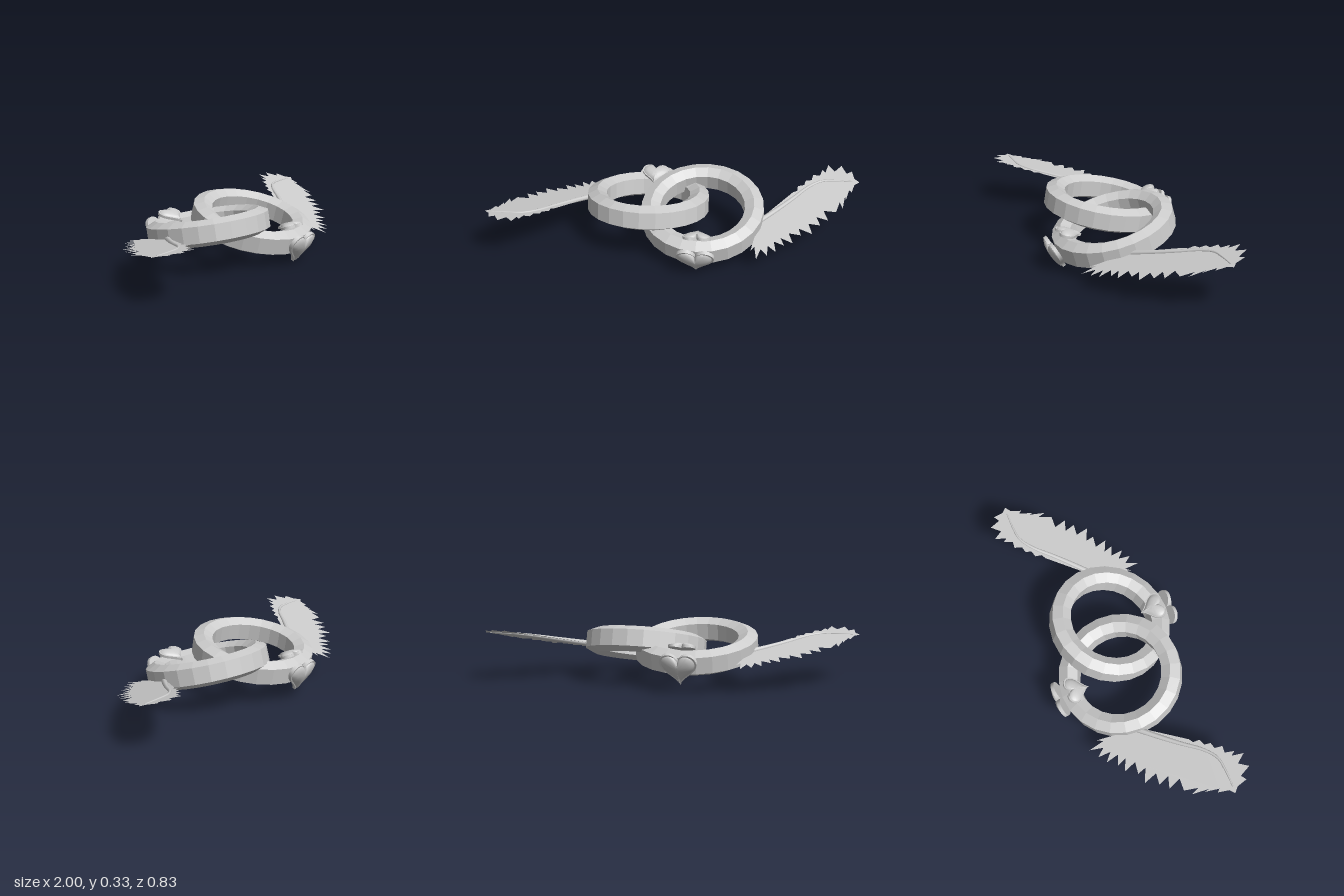
import * as THREE from 'three';
import { toCreasedNormals } from 'three/addons/utils/BufferGeometryUtils.js';

const flat = new THREE.MeshStandardMaterial({ color: 0xcccccc, flatShading: true });
const smooth = new THREE.MeshStandardMaterial({ color: 0xcccccc });
const thin = new THREE.MeshStandardMaterial({ color: 0xcccccc, side: THREE.DoubleSide });
const rad = THREE.MathUtils.degToRad;
const v2 = ([x, y]) => new THREE.Vector2(x, y);

function part(name, geometry, material) {
  const mesh = new THREE.Mesh(geometry, material);
  mesh.name = name;
  return mesh;
}

// Faceted band with a six-sided section
function ringGeometry() {
  const section = [[0.283, -0.07], [0.336, -0.045], [0.336, 0.045], [0.283, 0.07],
    [0.232, 0.045], [0.232, -0.045], [0.283, -0.07]];
  return new THREE.LatheGeometry(section.map(v2), 24);
}

// Domed heart: a lathe whose circles are bent into heart outlines (dome +y, lobes +z)
function heartGeometry(size, depth) {
  const section = [[0, -0.01], [1, -0.01], [1, 0.01], [0.9, 0.01], [0.84, 0.017],
    [0.6, 0.027], [0.3, 0.032], [0, 0.034]];
  const geo = new THREE.LatheGeometry(section.map(v2), 40);
  const p = geo.attributes.position;
  for (let i = 0; i < p.count; i++) {
    const r = Math.hypot(p.getX(i), p.getZ(i));
    const a = Math.atan2(p.getX(i), p.getZ(i));
    const hx = 16 * Math.sin(a) ** 3;
    const hz = 13 * Math.cos(a) - 5 * Math.cos(2 * a) - 2 * Math.cos(3 * a) - Math.cos(4 * a);
    p.setXYZ(i, hx * r * size, p.getY(i) * depth, (hz * r + 2.5) * size);
  }
  return toCreasedNormals(geo, 0.6);
}

// Wing plan, as x and z in the plane of the ring
const toRing = ([x, z]) => [x - 0.155, (z - 0.025) * 1.035];
const spine = new THREE.CatmullRomCurve3(
  [[0.46, 0.065], [0.56, -0.04], [0.64, -0.13], [0.72, -0.225], [0.79, -0.275], [0.86, -0.285], [0.96, -0.288]]
    .map(toRing).map(([x, z]) => new THREE.Vector3(x, 0, z)));
const tips = [[0.44, 0.27], [0.475, 0.325], [0.53, 0.295], [0.575, 0.265], [0.615, 0.215], [0.66, 0.195],
  [0.7, 0.135], [0.76, 0.12], [0.8, 0.055], [0.84, 0.015], [0.88, -0.05], [0.915, -0.08], [0.93, -0.145],
  [0.96, -0.205], [1.0, -0.285], [0.955, -0.365], [0.895, -0.405], [0.82, -0.405], [0.79, -0.365],
  [0.74, -0.32], [0.7, -0.27], [0.66, -0.225], [0.635, -0.175]].map(toRing);

// Flat vane with a notch cut between each pair of feather tips
function vaneGeometry() {
  const roots = spine.getSpacedPoints(40);
  const shape = new THREE.Shape();
  const [bx, bz] = toRing([0.47, 0.04]);
  shape.moveTo(bx, -bz);
  tips.forEach(([x, z], i) => {
    if (i > 0) {
      const mid = new THREE.Vector3((x + tips[i - 1][0]) / 2, 0, (z + tips[i - 1][1]) / 2);
      const root = roots.reduce((a, b) => (b.distanceTo(mid) < a.distanceTo(mid) ? b : a));
      const length = root.distanceTo(mid);
      mid.lerp(root, Math.min(0.06, length * 0.4) / length);
      shape.lineTo(mid.x, -mid.z);
    }
    shape.lineTo(x, -z);
  });
  shape.closePath();
  return new THREE.ShapeGeometry(shape).rotateX(-Math.PI / 2);
}

// Tube along the spine, tapering to the wing tip
function spineGeometry() {
  const steps = 24, sides = 8;
  const geo = new THREE.TubeGeometry(spine, steps, 1, sides);
  const p = geo.attributes.position, v = new THREE.Vector3();
  for (let i = 0; i < p.count; i++) {
    const t = Math.floor(i / (sides + 1)) / steps;
    const c = spine.getPointAt(t);
    v.fromBufferAttribute(p, i).sub(c).multiplyScalar(0.016 - 0.012 * t).add(c);
    p.setXYZ(i, v.x, v.y, v.z);
  }
  return geo;
}

// Ring with a heart on its front, a heart on its top and a wing at its side
function wingedRing(name) {
  const group = new THREE.Group();
  group.name = name;

  const frontHeart = part('frontHeart', heartGeometry(0.0064, 1), smooth);
  frontHeart.position.set(0, -0.014, 0.344);
  frontHeart.rotation.set(rad(104), Math.PI, 0);

  const topHeart = part('topHeart', heartGeometry(0.0047, 0.7), smooth);
  topHeart.position.set(0, 0.069, 0.243);
  topHeart.rotation.x = rad(-30);

  const wing = new THREE.Group();
  wing.name = 'wing';
  wing.position.y = -0.008;
  wing.add(part('wingFeathers', vaneGeometry(), thin), part('wingSpine', spineGeometry(), thin));

  group.add(part('ringBand', ringGeometry(), flat), frontHeart, topHeart, wing);
  return group;
}

export function createModel() {
  const model = new THREE.Group();
  model.name = 'linkedWingedRings';

  const left = wingedRing('leftRing');
  left.position.set(0.155, 0.185, 0.025);
  left.rotation.x = rad(15.3);

  // The second ring is turned half round and tilted less, so the two link
  const right = wingedRing('rightRing');
  right.position.set(-0.155, 0.204, -0.0325);
  right.rotation.set(rad(10.5), Math.PI, 0, 'YXZ');

  model.add(left, right);
  return model;
}
